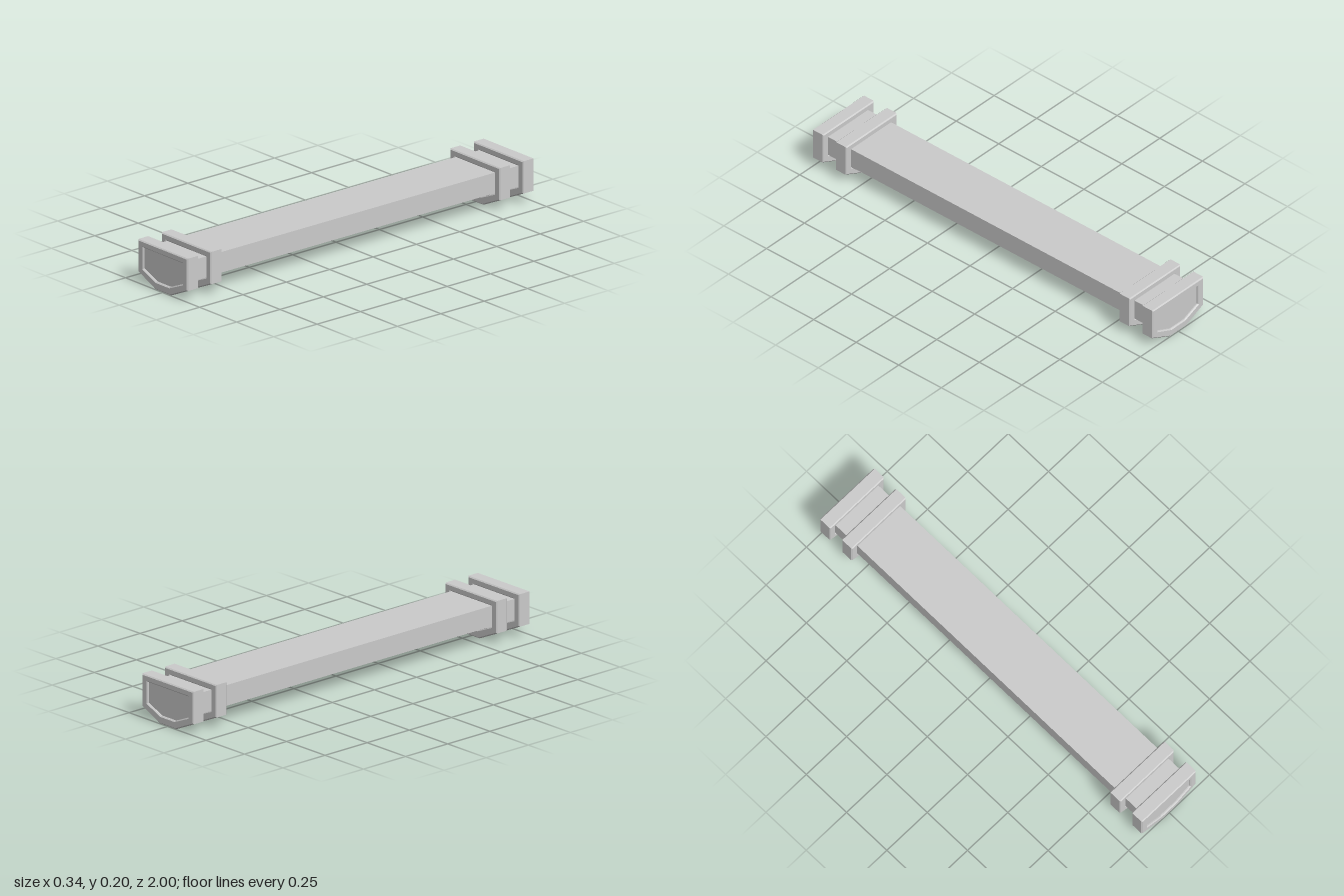
import * as THREE from 'three';

const material = new THREE.MeshStandardMaterial({ color: 0xcccccc, flatShading: true });
const smooth = new THREE.MeshStandardMaterial({ color: 0xcccccc });

// Six-sided outline: flat top, upright sides, chamfered underside
function outline(halfWidth, top, shoulder, halfBase, base) {
  return [
    [-halfBase, base], [halfBase, base], [halfWidth, shoulder],
    [halfWidth, top], [-halfWidth, top], [-halfWidth, shoulder],
  ].map(([x, y]) => new THREE.Vector2(x, y));
}

const CORE = outline(0.132, 0.172, 0.074, 0.045, 0.037);
const COLLAR = outline(0.168, 0.203, 0.052, 0.053, 0);

// Extrudes a shape along z between two positions, bevel included
function prism(name, shape, z0, z1, bevel = 0) {
  const geometry = new THREE.ExtrudeGeometry(shape, {
    depth: z1 - z0 - 2 * bevel,
    bevelEnabled: bevel > 0,
    bevelSize: bevel,
    bevelThickness: bevel,
    bevelOffset: -bevel,
    bevelSegments: 1,
  });
  geometry.translate(0, 0, z0 + bevel);
  const mesh = new THREE.Mesh(geometry, material);
  mesh.name = name;
  return mesh;
}

function createEnd(name) {
  const end = new THREE.Group();
  end.name = name;
  // Full-section core that shows as the neck and the recessed end panel
  end.add(prism('neck', new THREE.Shape(CORE), 0.775, 0.99));
  // Two bevelled collars around the core
  for (const [label, z0, z1] of [['innerCollar', 0.8, 0.865], ['outerCollar', 0.935, 1]]) {
    const ring = new THREE.Shape(COLLAR);
    ring.holes.push(new THREE.Path(CORE));
    end.add(prism(label, ring, z0, z1, 0.005));
  }
  return end;
}

export function createModel() {
  const model = new THREE.Group();
  model.name = 'beam';

  // Main slab with a flat underside
  const slab = new THREE.Shape([
    [-0.132, 0.076], [0.132, 0.076], [0.132, 0.172], [-0.132, 0.172],
  ].map(([x, y]) => new THREE.Vector2(x, y)));
  model.add(prism('slab', slab, -0.78, 0.78));

  // Rods running along the underside
  for (const [x, y, r] of [[-0.08, 0.08, 0.025], [0, 0.068, 0.027], [0.08, 0.08, 0.025]]) {
    const rod = new THREE.Mesh(new THREE.CylinderGeometry(r, r, 1.57, 24), smooth);
    rod.rotation.x = Math.PI / 2;
    rod.position.set(x, y, 0);
    rod.name = 'undersideRod';
    model.add(rod);
  }

  // Matching ends
  const front = createEnd('frontEnd');
  const back = createEnd('backEnd');
  back.rotation.y = Math.PI;
  model.add(front, back);
  return model;
}
